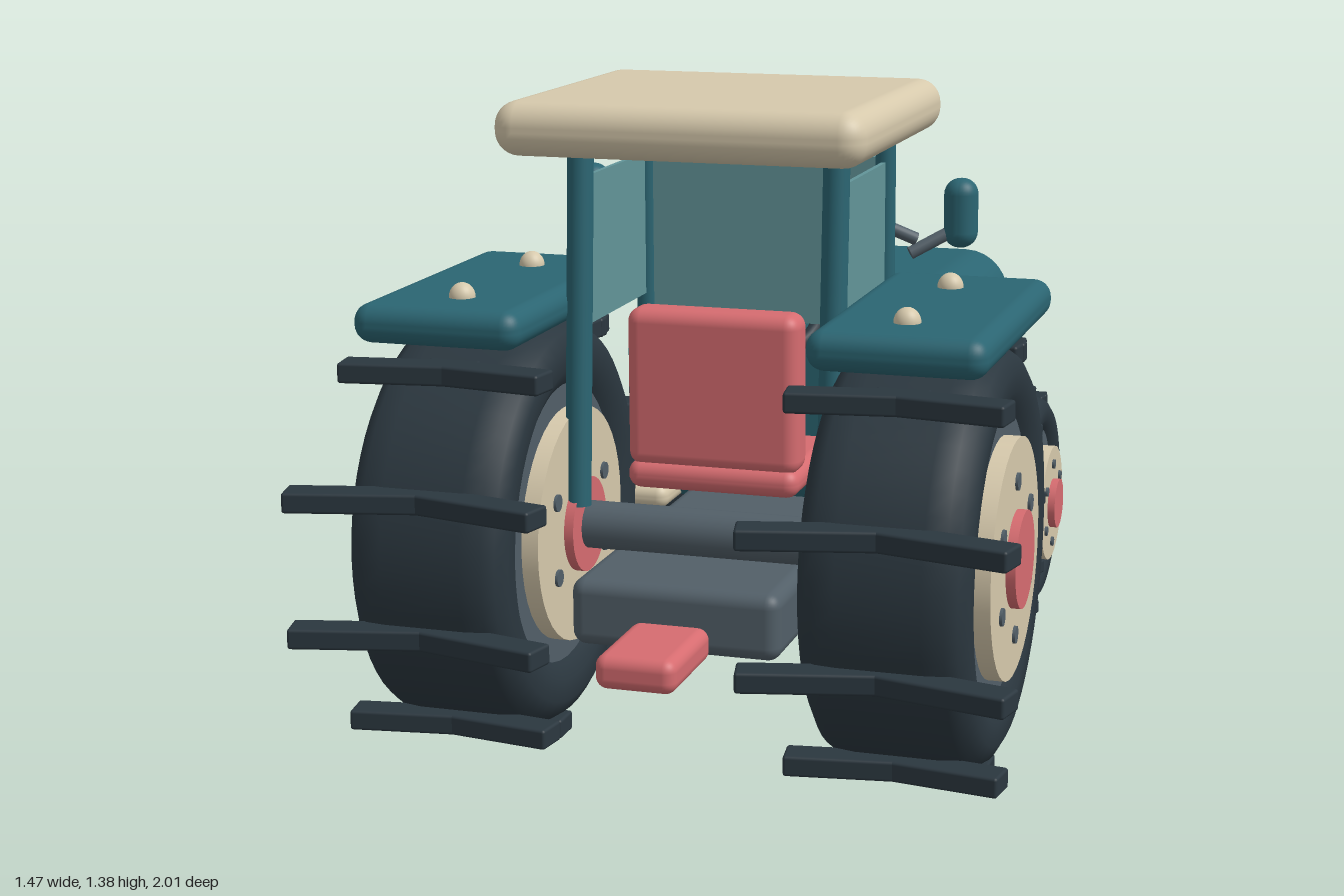
import * as THREE from 'three';
import { RoundedBoxGeometry } from 'three/addons/geometries/RoundedBoxGeometry.js';

const mat = (name, color) => {
  const m = new THREE.MeshStandardMaterial({ color });
  m.name = name;
  return m;
};

export function createModel() {
  const teal = mat('teal paint', 0x2b6572);
  const cream = mat('cream', 0xd6c9ac);
  const coral = mat('coral', 0xd66c70);
  const rubber = mat('rubber', 0x2b373f);
  const slate = mat('slate', 0x525f68);
  const glass = mat('glass', 0x629599);
  const black = mat('pupil black', 0x1c262d);
  const root = new THREE.Group();
  root.name = 'tractor';

  const add = (name, geo, material, x = 0, y = 0, z = 0, parent = root) => {
    const mesh = new THREE.Mesh(geo, material);
    mesh.name = name;
    mesh.position.set(x, y, z);
    parent.add(mesh);
    return mesh;
  };
  // Rounded box given by its size and centre
  const rbox = (name, m, [w, h, d], r, [x, y, z], parent) =>
    add(name, new RoundedBoxGeometry(w, h, d, 4, r), m, x, y, z, parent);
  // Flattened sphere given by its half sizes
  const blob = (name, m, [a, b, c], [x, y, z], parent) =>
    add(name, new THREE.SphereGeometry(1, 28, 20).scale(a, b, c), m, x, y, z, parent);
  // Round bar between two points
  const rod = (name, m, r, from, to, parent) => {
    const a = new THREE.Vector3(...from), b = new THREE.Vector3(...to);
    const mid = a.clone().add(b).multiplyScalar(0.5);
    const mesh = add(name, new THREE.CylinderGeometry(r, r, a.distanceTo(b), 20), m, mid.x, mid.y, mid.z, parent);
    mesh.quaternion.setFromUnitVectors(new THREE.Vector3(0, 1, 0), b.sub(a).normalize());
    return mesh;
  };
  // Disc lying across the axle
  const disc = (name, m, r, width, parent, x = 0, y = 0, z = 0) =>
    add(name, new THREE.CylinderGeometry(r, r, width, 40).rotateZ(Math.PI / 2), m, x, y, z, parent);

  // Wheel: tyre, rim, cream disc, hub, bolts and lugs
  function wheel(name, x, y, z, p) {
    const g = new THREE.Group();
    g.name = name;
    g.position.set(x, y, z);
    root.add(g);
    const { R, W } = p;
    const half = [[0.66, 0.8], [0.71, 0.9], [0.78, 0.99], [0.88, 1], [0.95, 0.9], [0.985, 0.76], [1, 0.5]];
    const profile = [...half.map(([r, w]) => [r, -w]), ...half.slice().reverse()]
      .map(([r, w]) => new THREE.Vector2(r * R, w * W));
    add('tyre', new THREE.LatheGeometry(profile, 56).rotateZ(Math.PI / 2), rubber, 0, 0, 0, g);
    disc('rim', slate, R * 0.69, W * 1.72, g);
    disc('wheelDisc', cream, p.disc, p.discHalf * 2, g);
    disc('hub', coral, p.hub, p.hubHalf * 2, g);
    for (let i = 0; i < 6; i++) {
      const a = Math.PI / 2 + i * Math.PI / 3;
      disc('bolt', slate, p.bolt, p.discHalf * 2 + 0.012, g, 0, p.boltRing * Math.sin(a), p.boltRing * Math.cos(a));
    }
    const [lw, lh, ld] = p.lug;
    const lugGeo = new RoundedBoxGeometry(lw, lh, ld, 2, lh * 0.15);
    for (let i = 0; i < 10; i++) {
      const a = -Math.PI / 2 + i * Math.PI / 5, c = Math.cos(a);
      for (const s of [-1, 1]) {
        const lug = add('lug', lugGeo, rubber, s * p.splay * Math.max(0, c), p.lugRing * Math.sin(a), p.lugRing * c, g);
        lug.rotation.y = -s * 0.24 * c;
      }
    }
  }
  const rear = { R: 0.43, W: 0.168, disc: 0.247, discHalf: 0.18, hub: 0.1, hubHalf: 0.2, bolt: 0.018,
    boltRing: 0.16, lug: [0.28, 0.042, 0.07], lugRing: 0.453, splay: 0.137 };
  const front = { R: 0.257, W: 0.116, disc: 0.138, discHalf: 0.138, hub: 0.059, hubHalf: 0.155, bolt: 0.011,
    boltRing: 0.097, lug: [0.18, 0.03, 0.045], lugRing: 0.267, splay: 0.08 };

  // Bonnet, chassis and tow block
  rbox('bonnet', teal, [0.74, 0.48, 0.9], 0.11, [0, 0.637, -0.395]);
  rbox('bonnetStripe', cream, [0.045, 0.02, 0.755], 0.008, [0, 0.877, -0.39]);
  rbox('chassis', slate, [0.44, 0.14, 1.56], 0.03, [0, 0.36, -0.02]);
  rbox('towBlock', coral, [0.165, 0.07, 0.24], 0.025, [0, 0.325, 0.88]);
  rbox('bumper', coral, [0.77, 0.12, 0.125], 0.035, [0, 0.33, -0.915]);
  rod('rearAxle', slate, 0.05, [-0.4, 0.476, 0.515], [0.4, 0.476, 0.515]).visible = true;
  rod('frontAxle', slate, 0.04, [-0.35, 0.3, -0.55], [0.35, 0.3, -0.55]);

  // Seat and steering
  rbox('seatCushion', coral, [0.37, 0.06, 0.34], 0.028, [0, 0.587, 0.34]);
  rbox('seatBack', coral, [0.37, 0.335, 0.09], 0.03, [0, 0.772, 0.46]);
  rod('steeringColumn', slate, 0.025, [0, 0.52, 0.14], [0, 0.84, 0.075]);
  const steering = add('steeringWheel', new THREE.TorusGeometry(0.11, 0.016, 12, 36), rubber, 0, 0.84, 0.082);
  steering.rotation.x = -Math.PI / 3;

  // Cab roof and windscreen
  rbox('roof', cream, [0.76, 0.11, 0.705], 0.05, [0, 1.33, 0.39]);
  add('windscreen', new THREE.BoxGeometry(0.5, 0.37, 0.012), glass, 0, 1.035, 0.12);

  // Exhaust on the right
  rbox('exhaustBase', slate, [0.1, 0.02, 0.1], 0.006, [-0.3, 0.9, -0.165]);
  rod('exhaustPipe', slate, 0.038, [-0.3, 0.84, -0.165], [-0.3, 1.16, -0.165]);
  rod('exhaustCollar', slate, 0.05, [-0.3, 0.935, -0.165], [-0.3, 0.98, -0.165]);
  rod('exhaustTip', slate, 0.044, [-0.3, 1.155, -0.175], [-0.3, 1.22, -0.055]);

  // Mouth
  blob('mouth', black, [0.17, 0.05, 0.07], [0, 0.51, -0.845]);
  blob('tongue', coral, [0.055, 0.022, 0.025], [0, 0.485, -0.905]);

  // Mirrored parts
  for (const s of [-1, 1]) {
    wheel('rearWheel', s * 0.464, 0.476, 0.515, rear);
    wheel('frontWheel', s * 0.39, 0.3, -0.55, front);

    rbox('fender', teal, [0.355, 0.08, 0.69], 0.036, [s * 0.467, 0.945, 0.497]);
    for (const z of [0.32, 0.7]) blob('fenderLamp', cream, [0.027, 0.03, 0.027], [s * 0.46, 0.985, z]);

    rod('frontPost', teal, 0.022, [s * 0.27, 0.53, 0.115], [s * 0.27, 1.3, 0.115]);
    rod('rearPost', teal, 0.027, [s * 0.27, 0.53, 0.565], [s * 0.27, 1.3, 0.515]);
    add('sideWindow', new THREE.BoxGeometry(0.01, 0.31, 0.37), glass, s * 0.27, 1.055, 0.315);

    rbox('mirror', teal, [0.072, 0.15, 0.075], 0.034, [s * 0.42, 1.095, 0.043]);
    rod('mirrorStem', slate, 0.014, [s * 0.27, 1.07, 0.11], [s * 0.33, 1.04, 0.08]);
    rod('mirrorArm', slate, 0.014, [s * 0.32, 1.01, 0.09], [s * 0.41, 1.06, 0.045]).name = 'mirrorArm';

    rbox('footboard', cream, [0.19, 0.055, 0.23], 0.025, [s * 0.325, 0.427, 0.005]);
    rbox('lowerStep', slate, [0.19, 0.03, 0.15], 0.01, [s * 0.315, 0.285, 0.055]);

    // Side vents
    for (let i = 0; i < 6; i++)
      add('vent', new THREE.BoxGeometry(0.008, 0.11, 0.02), black, s * 0.37, 0.655, -0.235 - i * 0.0655);

    // Eyes
    blob('eyeSocket', cream, [0.133, 0.126, 0.055], [s * 0.19, 0.688, -0.875]);
    blob('eyeball', cream, [0.095, 0.093, 0.07], [s * 0.19, 0.688, -0.905]);
    blob('pupil', black, [0.052, 0.06, 0.03], [s * 0.19, 0.695, -0.957]);
    blob('eyeGlint', cream, [0.014, 0.014, 0.008], [s * 0.19 + 0.015, 0.72, -0.98]);

    // Headlamps and bumper lamps
    blob('headlampHousing', slate, [0.075, 0.072, 0.05], [s * 0.305, 0.49, -0.86]);
    blob('headlamp', cream, [0.052, 0.052, 0.03], [s * 0.3, 0.488, -0.9]);
    blob('bumperLamp', cream, [0.03, 0.03, 0.02], [s * 0.285, 0.33, -0.975]);
  }
  return root;
}
